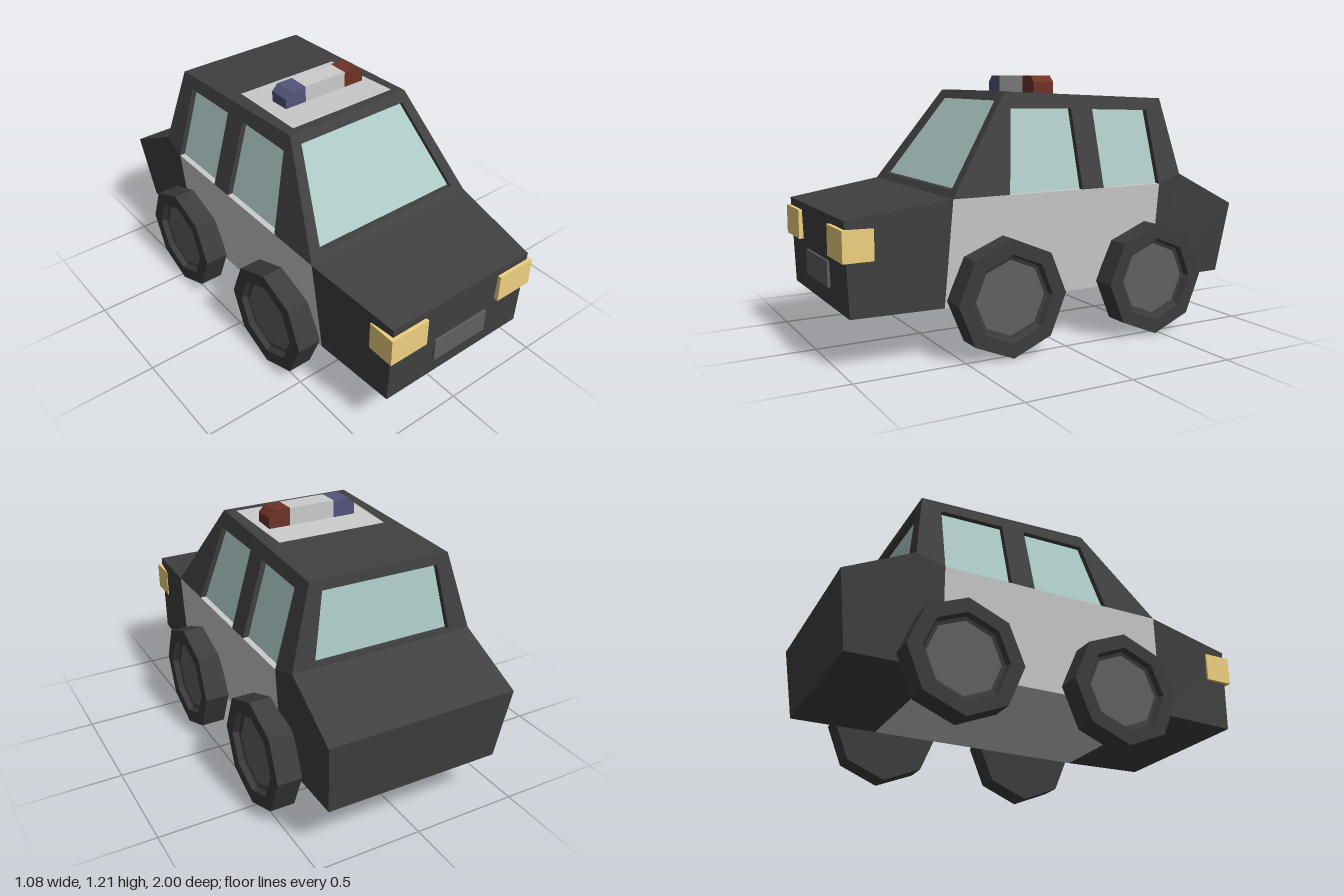
import * as THREE from 'three';

const mat = (color) => new THREE.MeshStandardMaterial({ color, flatShading: true });
const dark = mat(0x404040), white = mat(0xcccccc), glass = mat(0xaccac6), tyre = mat(0x3c3c3c);
const hubGrey = mat(0x606060), lamp = mat(0xeed080), red = mat(0x6e3226), blue = mat(0x54547c);
const barGrey = mat(0xc4c4c4), plateGrey = mat(0x606060);

export function createModel() {
  const car = new THREE.Group();
  car.name = 'patrolCar';

  const add = (name, geometry, material, parent = car) => {
    const mesh = new THREE.Mesh(geometry, material);
    mesh.name = name;
    parent.add(mesh);
    return mesh;
  };

  // Flat quads, corners counter-clockwise from outside
  const quads = (list) => {
    const pos = [];
    for (const [a, b, c, d] of list) pos.push(...a, ...b, ...c, ...a, ...c, ...d);
    const g = new THREE.BufferGeometry();
    g.setAttribute('position', new THREE.Float32BufferAttribute(pos, 3));
    g.computeVertexNormals();
    return g;
  };

  // Lower body: sections from front to back, [top z, top y, top half width, bottom z, bottom half width]
  const FRONT = [0.985, 0.637, 0.395, 0.97, 0.395];
  const COWL = [0.53, 0.7, 0.452, 0.56, 0.42];
  const DOOR_END = [-0.55, 0.7, 0.452, -0.535, 0.42];
  const DECK = [-0.68, 0.74, 0.441, -0.68, 0.42];
  const TAIL = [-1, 0.575, 0.452, -0.95, 0.42];
  const loft = (sections) => {
    const rings = sections.map(([zt, yt, wt, zb, wb]) => ({
      tl: [wt, yt, zt], tr: [-wt, yt, zt], bl: [wb, 0.23, zb], br: [-wb, 0.23, zb],
    }));
    const list = [];
    for (let i = 0; i < rings.length - 1; i++) {
      const f = rings[i], r = rings[i + 1];
      list.push([f.bl, r.bl, r.tl, f.tl], [r.br, f.br, f.tr, r.tr],
        [f.tr, f.tl, r.tl, r.tr], [r.br, r.bl, f.bl, f.br]);
    }
    const f = rings[0], r = rings[rings.length - 1];
    list.push([f.br, f.bl, f.tl, f.tr], [r.bl, r.br, r.tr, r.tl]);
    return quads(list);
  };
  add('frontBody', loft([FRONT, COWL]), dark);
  add('doorBody', loft([COWL, DOOR_END]), white);
  add('rearBody', loft([DOOR_END, DECK, TAIL]), dark);

  // Cabin panels: a flat outline given thickness, then leaned into place by a rule
  const THICK = 0.03;
  const shapeOf = (pts) => new THREE.Shape(pts.map(([u, v]) => new THREE.Vector2(u, v)));
  const place = (geometry, rule) => {
    const p = geometry.attributes.position;
    for (let i = 0; i < p.count; i++) p.setXYZ(i, ...rule(p.getX(i), p.getY(i), p.getZ(i) - THICK));
    geometry.computeVertexNormals();
    return geometry;
  };
  const panel = (name, shape, rule) =>
    add(name, place(new THREE.ExtrudeGeometry(shape, { depth: THICK, bevelEnabled: false }), rule), dark);
  const pane = (name, pts, rule) =>
    add(name, place(new THREE.ShapeGeometry(shapeOf(pts)).translate(0, 0, 0.003), rule), glass);

  // Side walls with two window openings standing on the sill
  const frontWindow = [[0.26, 0.7], [0.2, 1.065], [-0.115, 1.06], [-0.115, 0.7]];
  const rearWindow = [[-0.23, 0.7], [-0.23, 1.055], [-0.54, 1.045], [-0.55, 0.7]];
  const sideOutline = [[0.53, 0.7], ...frontWindow, ...rearWindow, [-0.68, 0.74], [-0.63, 1.1], [0.22, 1.14]];
  for (const s of [1, -1]) {
    const side = s > 0 ? 'left' : 'right';
    const rule = (u, v, w) => [s * (0.452 - (v - 0.7) * 0.288 + w), v, -s * u];
    const flip = (pts) => pts.map(([z, y]) => [-s * z, y]);
    panel(side + 'CabinSide', shapeOf(flip(sideOutline)), rule);
    pane(side + 'FrontWindow', flip(frontWindow), rule);
    pane(side + 'RearWindow', flip(rearWindow), rule);
  }

  // Windscreen and back window in their frames
  const trapezoid = (w0, y0, w1, y1) => [[-w0, y0], [w0, y0], [w1, y1], [-w1, y1]];
  const framed = (name, outer, inner, rule) => {
    const shape = shapeOf(outer);
    shape.holes.push(shapeOf(inner));
    panel(name + 'Frame', shape, rule);
    pane(name, inner, rule);
  };
  framed('windscreen', trapezoid(0.452, 0.7, 0.325, 1.14), trapezoid(0.388, 0.73, 0.288, 1.1),
    (u, v, w) => [u, v, 0.53 - (v - 0.7) * 0.7045 + w]);
  framed('backWindow', trapezoid(0.441, 0.74, 0.337, 1.1), trapezoid(0.335, 0.755, 0.28, 1.055),
    (u, v, w) => [-u, v, -0.68 + (v - 0.74) * 0.139 - w]);

  // Roof and its pale panel
  const roofY = (z) => 1.14 - (0.22 - z) * 0.047;
  const roofQuad = (w0, z0, w1, z1, lift) => quads([[
    [-w0, roofY(z0) + lift, z0], [w0, roofY(z0) + lift, z0],
    [w1, roofY(z1) + lift, z1], [-w1, roofY(z1) + lift, z1]]]);
  add('roof', roofQuad(0.325, 0.22, 0.337, -0.63, 0), dark);
  add('roofPanel', roofQuad(0.28, 0.18, 0.267, -0.24, 0.003), white);

  // Light bar: three blocks, outer ones with a cut corner
  const lightBar = new THREE.Group();
  lightBar.name = 'lightBar';
  car.add(lightBar);
  const barPart = (name, pts, material) => {
    const g = new THREE.ExtrudeGeometry(shapeOf(pts), { depth: 0.104, bevelEnabled: false });
    add(name, g.translate(0, 0, -0.085), material, lightBar);
  };
  barPart('blueLight', [[-0.2, 1.12], [-0.09, 1.12], [-0.09, 1.21], [-0.17, 1.21], [-0.2, 1.18]], blue);
  barPart('barCentre', [[-0.09, 1.12], [0.135, 1.12], [0.135, 1.21], [-0.09, 1.21]], barGrey);
  barPart('redLight', [[0.135, 1.12], [0.24, 1.12], [0.24, 1.18], [0.21, 1.21], [0.135, 1.21]], red);

  // Headlights and front plate
  for (const s of [1, -1]) {
    add(s > 0 ? 'leftHeadlight' : 'rightHeadlight', new THREE.BoxGeometry(0.2, 0.135, 0.135), lamp)
      .position.set(s * 0.313, 0.533, 0.9325);
  }
  add('frontPlate', new THREE.BoxGeometry(0.308, 0.115, 0.04), plateGrey).position.set(0.008, 0.373, 0.967);

  // Eight-sided wheels with a sunken hub
  const tyreProfile = [[0, 0], [0.262, 0], [0.262, 0.116], [0.195, 0.116], [0.185, 0.09], [0.168, 0.085]]
    .map(([r, h]) => new THREE.Vector2(r, h));
  for (const s of [1, -1]) {
    for (const [end, z] of [['Front', 0.29], ['Rear', -0.475]]) {
      const wheel = new THREE.Group();
      wheel.name = (s > 0 ? 'left' : 'right') + end + 'Wheel';
      wheel.position.set(s * 0.426, 0.262, z);
      wheel.rotation.z = -s * Math.PI / 2;
      add('tyre', new THREE.LatheGeometry(tyreProfile, 8), tyre, wheel);
      add('hub', new THREE.CircleGeometry(0.168, 8).rotateX(-Math.PI / 2).translate(0, 0.085, 0), hubGrey, wheel);
      car.add(wheel);
    }
  }
  return car;
}
